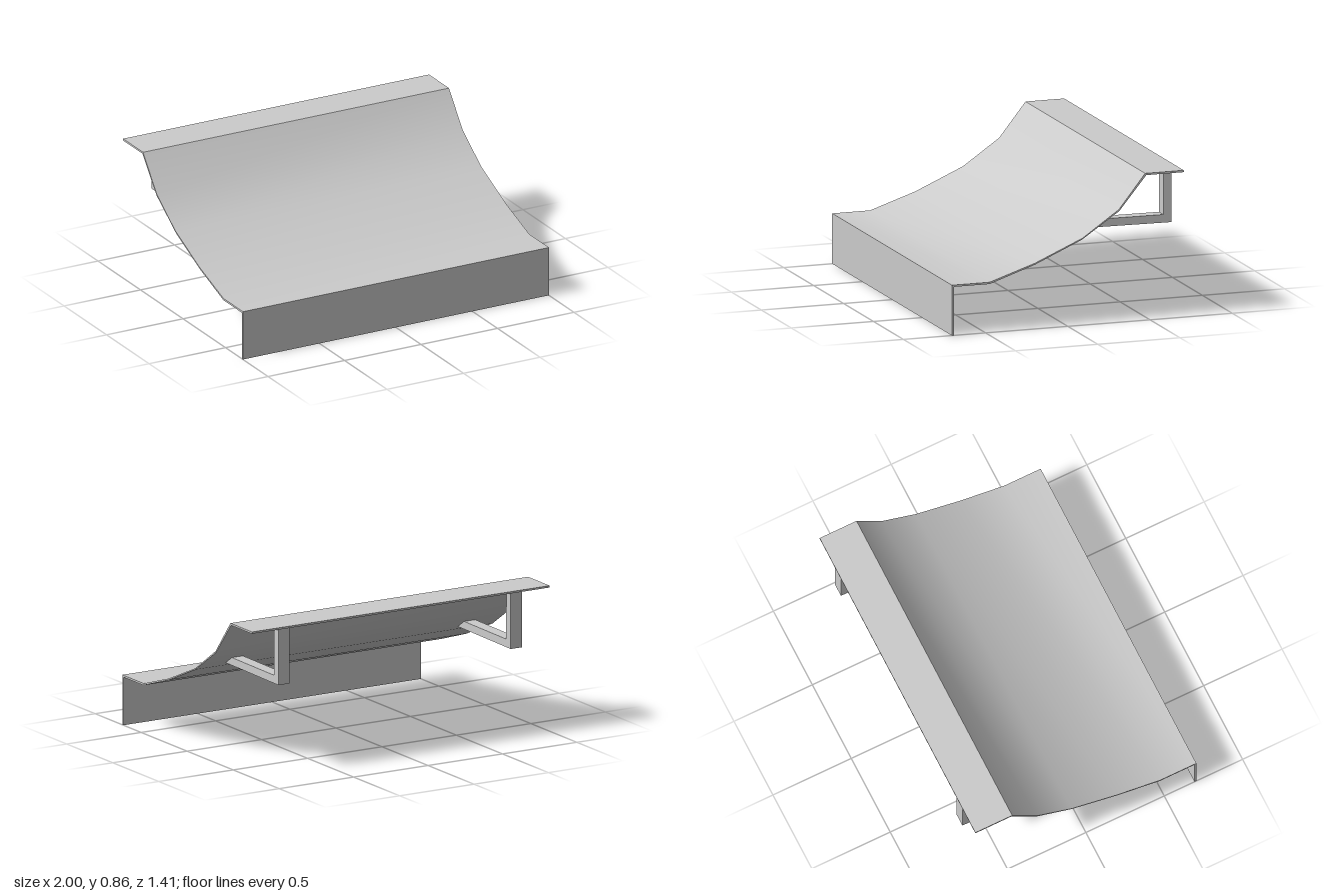
import * as THREE from 'three';
import { toCreasedNormals } from 'three/addons/utils/BufferGeometryUtils.js';

// Extrude a side profile of [z, y] points along x, centred on x = 0
function extrudeProfile(points, width) {
  const shape = new THREE.Shape(points.map(([z, y]) => new THREE.Vector2(z, y)));
  const geometry = new THREE.ExtrudeGeometry(shape, { depth: width, bevelEnabled: false });
  geometry.translate(0, 0, -width / 2);
  geometry.rotateY(-Math.PI / 2);
  return toCreasedNormals(geometry, THREE.MathUtils.degToRad(30));
}

export function createModel() {
  const model = new THREE.Group();
  model.name = 'curvedPanel';
  const material = new THREE.MeshStandardMaterial({ color: 0xcccccc });

  // Thin bent sheet: front lip, lower ledge, curved slope and rear shelf
  const upper = [
    [0.705, 0], [0.705, 0.295], [0.475, 0.295], [0.2, 0.385],
    [-0.09, 0.51], [-0.31, 0.66], [-0.47, 0.86], [-0.705, 0.86],
  ];
  const lower = [
    [-0.705, 0.849], [-0.477, 0.849], [-0.313, 0.651], [-0.085, 0.5],
    [0.203, 0.375], [0.475, 0.284], [0.693, 0.284], [0.693, 0],
  ];
  const sheet = new THREE.Mesh(extrudeProfile([...upper, ...lower], 2), material);
  sheet.name = 'bentSheet';
  model.add(sheet);

  // L-shaped brackets: a post under the shelf and an arm mitred to the slope
  const bracketGeometry = extrudeProfile([
    [-0.697, 0.85], [-0.697, 0.519], [-0.117, 0.525],
    [-0.188, 0.57], [-0.647, 0.567], [-0.65, 0.85],
  ], 0.075);
  for (const side of [1, -1]) {
    const bracket = new THREE.Mesh(bracketGeometry, material);
    bracket.name = side > 0 ? 'leftBracket' : 'rightBracket';
    bracket.position.x = side * 0.78;
    model.add(bracket);
  }

  return model;
}
